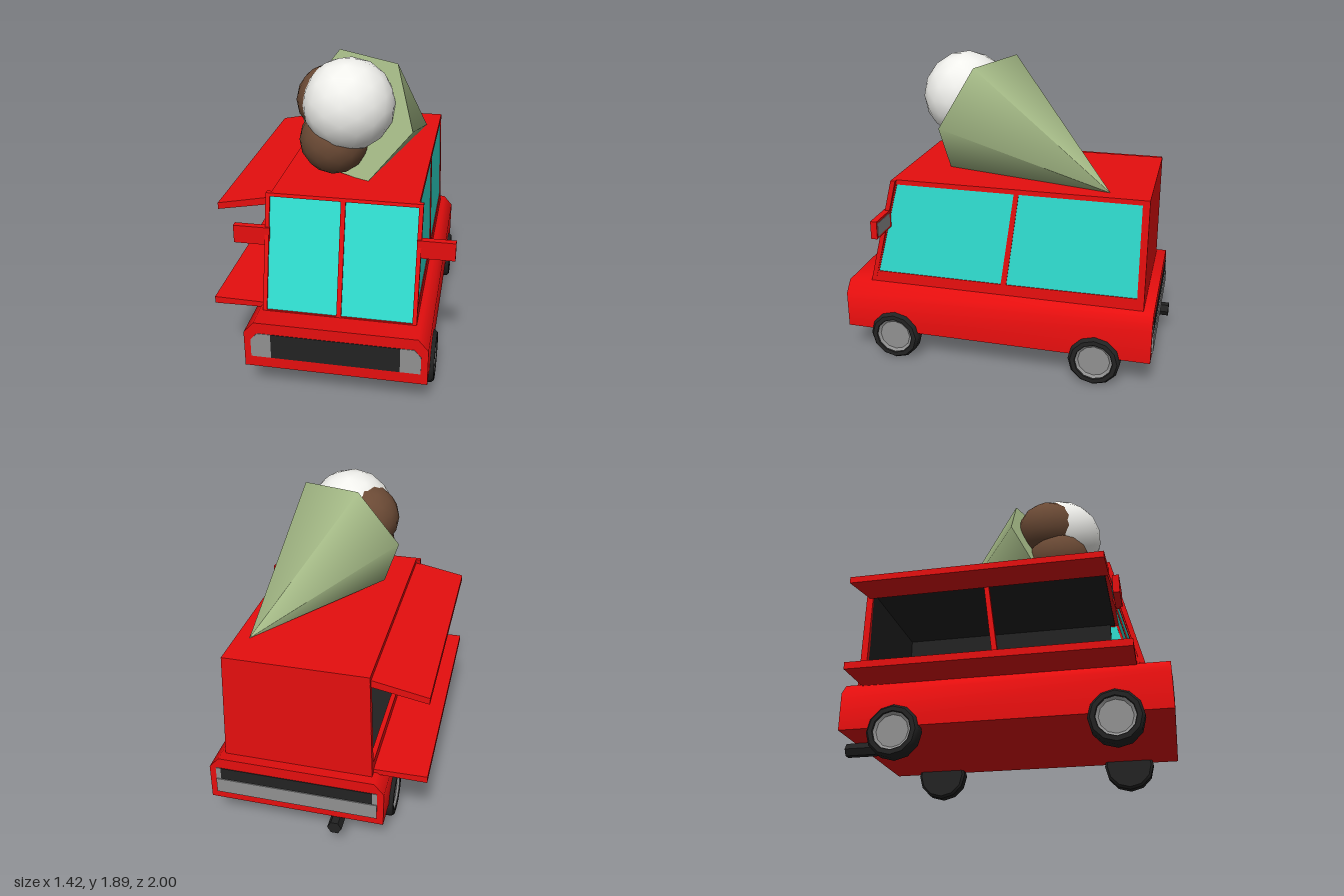
import * as THREE from 'three';
import { toCreasedNormals } from 'three/addons/utils/BufferGeometryUtils.js';

const paint = (color, side = THREE.FrontSide) => new THREE.MeshStandardMaterial({ color, side });
const red = paint(0xe60e0e), teal = paint(0x30e0d2), dark = paint(0x222222), grey = paint(0x909090);
const wafer = paint(0xa3b885), brown = paint(0x6b4a35), cream = paint(0xf0f0ec);

const MID = 0.06; // centre line of the truck body
const SLANT = 0.246; // windscreen lean
const TAPER = 0.036; // inward lean of the cabin sides

export function createModel() {
  const model = new THREE.Group();

  function add(name, geometry, material, x = 0, y = 0, z = 0) {
    const mesh = new THREE.Mesh(geometry, material);
    mesh.name = name;
    mesh.position.set(x, y, z);
    model.add(mesh);
    return mesh;
  }

  // box given by its limits on each axis
  function box(name, material, x0, x1, y0, y1, z0, z1) {
    return add(name, new THREE.BoxGeometry(x1 - x0, y1 - y0, z1 - z0), material,
      (x0 + x1) / 2, (y0 + y1) / 2, (z0 + z1) / 2);
  }

  // extruded outline with holes
  function plate(outline, depth, holes = []) {
    const toPoints = (list) => list.map(([a, b]) => new THREE.Vector2(a, b));
    const shape = new THREE.Shape(toPoints(outline));
    for (const h of holes) shape.holes.push(new THREE.Path(toPoints(h)));
    return new THREE.ExtrudeGeometry(shape, { depth, bevelEnabled: false });
  }

  // moves vertices by a rule
  function warp(geometry, rule) {
    const p = geometry.attributes.position;
    const v = new THREE.Vector3();
    for (let i = 0; i < p.count; i++) {
      rule(v.fromBufferAttribute(p, i));
      p.setXYZ(i, v.x, v.y, v.z);
    }
    geometry.computeVertexNormals();
    return geometry;
  }

  const rect = (x0, x1, y0, y1) => [[x0, y0], [x1, y0], [x1, y1], [x0, y1]];

  // lower body with chamfered shoulders
  const section = [[-0.48, 0.19], [0.6, 0.19], [0.6, 0.42], [0.54, 0.49], [-0.42, 0.49], [-0.48, 0.42]];
  add('lowerBody', toCreasedNormals(plate(section, 1.945), 1), red, 0, 0, -0.945);

  // grille and lamps
  box('grille', dark, -0.32, 0.44, 0.26, 0.42, 0.98, 1.003);
  for (const s of [-1, 1]) {
    const outer = [[0.38, 0.26], [0.5, 0.26], [0.5, 0.375], [0.46, 0.42], [0.38, 0.42]];
    const pts = outer.map(([x, y]) => [MID + s * x, y]);
    add('headlamp', plate(pts, 0.02), grey, 0, 0, 0.983);
  }

  // rear bumper and dark strip
  box('rearBumper', grey, -0.44, 0.56, 0.24, 0.34, -0.955, -0.93);
  box('rearStrip', dark, -0.41, 0.53, 0.34, 0.42, -0.949, -0.93);
  for (const x of [-0.44, 0.53]) box('rearLamp', grey, x, x + 0.03, 0.34, 0.42, -0.949, -0.93);

  // windscreen frame and glass, leaning back
  const lean = (v) => { v.z += 0.83 - (v.y - 0.49) * SLANT; };
  const screenHoles = [rect(-0.375, 0.043, 0.495, 1.16), rect(0.071, 0.49, 0.495, 1.16)];
  add('windscreenFrame', warp(plate(rect(-0.4, 0.515, 0.49, 1.18), 0.03, screenHoles), lean), red);
  add('windscreen', warp(plate(rect(-0.38, 0.495, 0.492, 1.165), 0.012), (v) => { lean(v); v.z += 0.008; }), teal);

  // cabin sides: outlines run along z and y, then turn to face sideways
  const side = [[-0.88, 0.49], [0.85, 0.49], [0.68, 1.18], [-0.88, 1.18]];
  const rearPane = [[-0.84, 0.565], [-0.035, 0.56], [-0.11, 1.15], [-0.84, 1.15]];
  const frontPane = [[0, 0.56], [0.805, 0.56], [0.66, 1.15], [-0.08, 1.15]];
  const stand = (s, inset) => (v) => {
    const along = v.x;
    v.x = MID + s * (0.455 - inset - (v.y - 0.49) * TAPER) + v.z;
    v.z = along;
  };
  function sidePart(name, outline, holes, s, inset, depth, material) {
    // reversed direction keeps the faces outward after the turn
    const g = plate(outline, depth, holes);
    warp(g, stand(s, inset));
    const p = g.attributes.position.array;
    for (let i = 0; i < p.length; i += 9) {
      for (let k = 0; k < 3; k++) [p[i + 3 + k], p[i + 6 + k]] = [p[i + 6 + k], p[i + 3 + k]];
    }
    g.computeVertexNormals();
    add(name, g, material);
  }
  sidePart('leftSideFrame', side, [rearPane, frontPane], 1, 0.03, 0.03, red);
  sidePart('leftRearWindow', rearPane, [], 1, 0.025, 0.02, teal);
  sidePart('leftFrontWindow', frontPane, [], 1, 0.025, 0.02, teal);
  sidePart('serviceHatchFrame', side, [rearPane, frontPane], -1, 0, 0.03, red);

  // roof, back wall and dark interior
  box('roof', red, -0.37, 0.487, 1.155, 1.18, -0.88, 0.68);
  const back = [[-0.395, 0.49], [0.515, 0.49], [0.49, 1.18], [-0.37, 1.18]];
  add('backWall', plate(back, 0.03), red, 0, 0, -0.882);
  box('interiorWall', dark, 0.42, 0.44, 0.49, 1.15, -0.85, 0.62);
  box('interiorBack', dark, -0.36, 0.44, 0.49, 1.15, -0.85, -0.84);
  box('interiorFloor', dark, -0.365, 0.44, 0.485, 0.5, -0.85, 0.8);
  box('interiorCeiling', dark, -0.36, 0.44, 1.145, 1.157, -0.85, 0.65);

  // awning and serving counter
  const awning = [[-0.7, 1.045], [-0.37, 1.105], [-0.37, 1.15], [-0.7, 1.085]];
  add('awning', plate(awning, 1.54), red, 0, 0, -0.86);
  const counter = [[-0.713, 0.475], [-0.37, 0.48], [-0.37, 0.512], [-0.713, 0.518]];
  add('counter', plate(counter, 1.65), red, 0, 0, -0.84);

  // wing mirrors
  for (const [x0, x1] of [[0.49, 0.71], [-0.59, -0.37]]) {
    box('wingMirror', red, x0, x1, 0.87, 0.982, 0.71, 0.75);
    const edge = x0 > 0 ? 0.03 : 0.01;
    box('mirrorGlass', grey, x0 + edge, x1 - (0.04 - edge), 0.885, 0.968, 0.707, 0.72);
  }

  // wheels: tyre with a recessed hub
  const tyreProfile = [[0, -0.048], [0.145, -0.048], [0.16, -0.035], [0.16, 0.03], [0.145, 0.048], [0.118, 0.048], [0.105, 0.03]]
    .map(([r, h]) => new THREE.Vector2(r, h));
  const tyre = toCreasedNormals(new THREE.LatheGeometry(tyreProfile, 12), 0.7);
  const hubProfile = [[0.12, 0.046], [0.098, 0.03], [0, 0.03]].map(([r, h]) => new THREE.Vector2(r, h));
  const hub = toCreasedNormals(new THREE.LatheGeometry(hubProfile, 12), 0.4);
  for (const s of [-1, 1]) {
    for (const z of [0.68, -0.607]) {
      const wheel = new THREE.Group();
      wheel.name = 'wheel';
      wheel.add(new THREE.Mesh(tyre, dark), new THREE.Mesh(hub, grey));
      wheel.children[0].name = 'tyre';
      wheel.children[1].name = 'hub';
      wheel.rotation.z = -s * Math.PI / 2;
      wheel.position.set(MID + s * 0.516, 0.163, z);
      model.add(wheel);
    }
  }

  // exhaust pipe
  const pipe = new THREE.CylinderGeometry(0.044, 0.044, 0.34, 6);
  pipe.rotateY(Math.PI / 2).rotateX(Math.PI / 2);
  add('exhaust', toCreasedNormals(pipe, 0.6), dark, -0.195, 0.15, -0.83);

  // six-sided wafer cone lying on the roof
  const tip = new THREE.Vector3(0.405, 1.18, -0.64);
  const rim = new THREE.Vector3(0.035, 1.525, 0.235);
  const axis = rim.clone().sub(tip);
  const length = axis.length();
  axis.normalize();
  const corner = new THREE.Vector3(0.375, -0.025, 0.175);
  corner.addScaledVector(axis, -corner.dot(axis)).normalize();
  const basis = new THREE.Matrix4().makeBasis(axis.clone().cross(corner), axis, corner);
  const cone = new THREE.CylinderGeometry(0.415, 0.001, length, 6);
  cone.applyMatrix4(basis);
  add('waferCone', cone, wafer, ...tip.clone().add(rim).multiplyScalar(0.5).toArray());

  // scoops
  const scoop = (name, r, material, x, y, z) => add(name, new THREE.IcosahedronGeometry(r, 2), material, x, y, z);
  scoop('creamScoop', 0.275, cream, 0.025, 1.628, 0.34);
  scoop('lowerBrownScoop', 0.21, brown, -0.065, 1.4, 0.33);
  scoop('upperBrownScoop', 0.21, brown, -0.09, 1.63, 0.275);

  return model;
}
